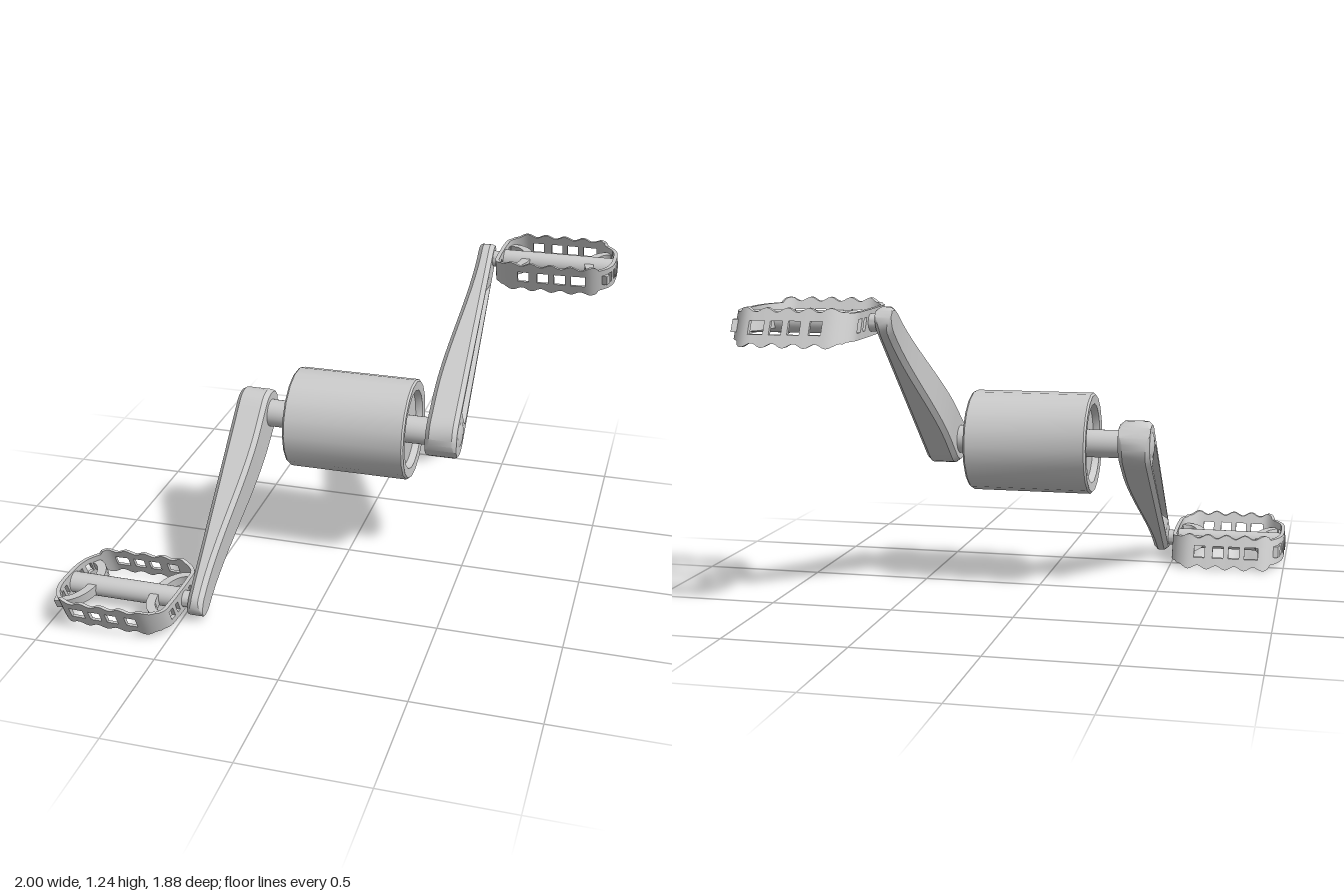
import * as THREE from 'three';
import { mergeGeometries, toCreasedNormals } from 'three/addons/utils/BufferGeometryUtils.js';

const V = (x, y, z) => new THREE.Vector3(x, y, z);
const CENTRE_Y = 0.622;
const PEDAL = V(0.748, 0.54, -0.675); // pedal centre relative to the axle

// Solid through a row of cross-sections, closed into a ring or capped at both ends
function loft(sections, ring = false) {
  const pos = [], n = sections[0].length, m = sections.length;
  const tri = (...v) => v.forEach(p => pos.push(p.x, p.y, p.z));
  for (let i = 0; i < (ring ? m : m - 1); i++) {
    const a = sections[i], b = sections[(i + 1) % m];
    for (let j = 0; j < n; j++) {
      const k = (j + 1) % n;
      tri(a[j], b[j], b[k]);
      tri(a[j], b[k], a[k]);
    }
  }
  if (!ring) [sections[0], sections[m - 1]].forEach((s, end) => {
    const c = s.reduce((t, p) => t.add(p), V(0, 0, 0)).divideScalar(n);
    s.forEach((p, j) => end ? tri(c, s[(j + 1) % n], p) : tri(c, p, s[(j + 1) % n]));
  });
  const g = new THREE.BufferGeometry();
  g.setAttribute('position', new THREE.Float32BufferAttribute(pos, 3));
  return orient(g);
}

// Turns a closed solid so that its faces point outwards
function orient(g) {
  const p = g.attributes.position.array;
  let vol = 0;
  for (let i = 0; i < p.length; i += 9) {
    vol += V(p[i], p[i + 1], p[i + 2]).dot(V(p[i + 3], p[i + 4], p[i + 5]).cross(V(p[i + 6], p[i + 7], p[i + 8])));
  }
  if (vol < 0) for (let i = 0; i < p.length; i += 9) {
    for (let c = 3; c < 6; c++) [p[i + c], p[i + c + 3]] = [p[i + c + 3], p[i + c]];
  }
  return g;
}

// Position-only copy of a built-in geometry
function plain(geo) {
  const g = geo.toNonIndexed();
  g.deleteAttribute('normal');
  g.deleteAttribute('uv');
  return g;
}

const rod = (r, x0, x1, sides = 24) =>
  plain(new THREE.CylinderGeometry(r, r, x1 - x0, sides).rotateZ(-Math.PI / 2).translate((x0 + x1) / 2, 0, 0));

// Rectangular cross-sections standing along a flat path
function bandSections(path, thick, lo, hi, ring) {
  const m = path.length;
  return path.map((p, i) => {
    const a = path[ring ? (i + m - 1) % m : Math.max(i - 1, 0)];
    const b = path[ring ? (i + 1) % m : Math.min(i + 1, m - 1)];
    const o = V(b.z - a.z, 0, a.x - b.x).setLength(thick / 2);
    return [[1, lo], [1, hi], [-1, hi], [-1, lo]].map(([s, h]) => V(p.x + s * o.x, h(p), p.z + s * o.z));
  });
}

// Leans the cage and tips it slightly, then moves it to the pedal centre
function placePedal(g) {
  const p = g.attributes.position;
  for (let i = 0; i < p.count; i++) {
    const z = p.getZ(i) + 0.5 * p.getY(i);
    p.setZ(i, z);
    p.setY(i, p.getY(i) + 0.03 * z);
  }
  return g.translate(PEDAL.x, PEDAL.y, PEDAL.z);
}

// Pedal cage: toothed top and bottom rails joined by posts that leave slots
function cageGeometry() {
  const corners = [[0.24, 0], [0.235, 0.09], [0.215, 0.15], [0.16, 0.212], [0.1, 0.22], [0, 0.222],
    [-0.1, 0.222], [-0.18, 0.215], [-0.232, 0.165], [-0.24, 0.09], [-0.241, 0]];
  const back = corners.slice(1, -1).reverse().map(([x, z]) => [x, -z]);
  const curve = new THREE.CatmullRomCurve3([...corners, ...back].map(([x, z]) => V(x, 0, z)), true, 'centripetal');
  const path = curve.getSpacedPoints(140).slice(0, -1);
  const isEnd = p => Math.abs(p.z) > 0.19;
  const edge = p => isEnd(p) ? 0.054 + 0.008 * (1 + Math.cos(p.x * 2 * Math.PI / 0.082)) : 0.05;
  const slot = 0.024;
  const isSlot = p => {
    const x = Math.abs(p.x), z = Math.abs(p.z);
    if (isEnd(p)) return x < 0.145 && x > 0.012 && Math.abs(x - 0.075) > 0.012;
    return z > 0.055 && z < 0.14 && Math.abs(z - 0.095) > 0.01;
  };
  const parts = [
    loft(bandSections(path, 0.016, () => slot, edge, true), true),
    loft(bandSections(path, 0.016, p => -edge(p), () => -slot, true), true),
  ];
  const posts = bandSections(path, 0.016, () => -slot, () => slot, true);
  path.forEach((p, i) => {
    const k = (i + 1) % path.length;
    if (!isSlot(p.clone().lerp(path[k], 0.5))) parts.push(loft([posts[i], posts[k]]));
  });
  return placePedal(mergeGeometries(parts));
}

// Curved braces from the cage corners in to the spindle
function braceGeometry() {
  return placePedal(mergeGeometries([-1, 1].map(s => {
    const pts = [[0.232, 0.165], [0.185, 0.15], [0.15, 0.1], [0.134, 0], [0.15, -0.1], [0.185, -0.15], [0.232, -0.165]];
    const path = new THREE.CatmullRomCurve3(pts.map(([x, z]) => V(s * x, 0, z))).getSpacedPoints(24);
    return loft(bandSections(path, 0.036, () => -0.022, () => 0.022, false));
  })));
}

// Crank arm: tapered, round-ended bar with a channel on its outer face
function armGeometry() {
  const dir = V(0, PEDAL.y, PEDAL.z), len = dir.length();
  dir.normalize();
  const side = V(0, -dir.z, dir.y);
  const R = 0.1, r = 0.06, smooth = THREE.MathUtils.smoothstep;
  const rows = [];
  for (let i = 1; i <= 6; i++) rows.push([-R * Math.cos(i * Math.PI / 12), R * Math.sin(i * Math.PI / 12)]);
  for (let i = 1; i < 24; i++) rows.push([len * i / 24, R + (r - R) * i / 24]);
  for (let i = 6; i >= 1; i--) rows.push([len + r * Math.cos(i * Math.PI / 12), r * Math.sin(i * Math.PI / 12)]);
  return loft(rows.map(([s, w]) => {
    const xi = 0.343 + 0.06 * smooth(s, 0.12, 0.85), xo = 0.474 - 0.006 * s / len;
    const d = 0.035 * smooth(s, 0.07, 0.13) * (1 - smooth(s, 0.66, 0.76));
    const b = Math.min(0.018, w * 0.35), g = w * 0.62;
    return [[-w + b, xi], [w - b, xi], [w, xi + b], [w, xo - b], [w - b, xo], [g, xo], [g * 0.8, xo - d],
      [-g * 0.8, xo - d], [-g, xo], [-w + b, xo], [-w, xo - b], [-w, xi + b]]
      .map(([q, x]) => dir.clone().multiplyScalar(s).addScaledVector(side, q).setX(x));
  }));
}

export function createModel() {
  const model = new THREE.Group();
  model.name = 'pedalCrankset';
  const grey = new THREE.MeshStandardMaterial({ color: 0xcccccc });
  const add = (parent, name, geo, crease = 0.6) => {
    const mesh = new THREE.Mesh(toCreasedNormals(geo, crease), grey);
    mesh.name = name;
    parent.add(mesh);
  };

  // Bearing shell with recessed ends
  const half = [[0, 0.225], [0.155, 0.225], [0.165, 0.252], [0.203, 0.255], [0.21, 0.247]];
  const profile = [...half.map(([x, y]) => new THREE.Vector2(x, -y)),
    ...half.slice().reverse().map(([x, y]) => new THREE.Vector2(x, y))];
  const shell = new THREE.LatheGeometry(profile, 18).rotateZ(-Math.PI / 2).translate(0.025, 0, 0);
  add(model, 'bearingShell', plain(shell));

  // Axle with domed ends
  add(model, 'axle', rod(0.058, -0.472, 0.472));
  for (const s of [-1, 1]) {
    const cap = new THREE.SphereGeometry(0.058, 24, 12).scale(0.25, 1, 1).translate(s * 0.468, 0, 0);
    add(model, 'axleCap', plain(cap));
  }

  // Opposite crank sides are each other's reflection through the centre
  for (const k of [1, -1]) {
    const sideGroup = new THREE.Group();
    sideGroup.name = k > 0 ? 'leftCrank' : 'rightCrank';
    const place = g => orient(g.scale(k, k, k));
    add(sideGroup, 'crankArm', place(armGeometry()));
    add(sideGroup, 'pedalCage', place(cageGeometry()));
    add(sideGroup, 'pedalBraces', place(braceGeometry()));
    const spindle = mergeGeometries([rod(0.034, 0.44, 0.51), rod(0.043, 0.505, 0.985), rod(0.034, 0.98, 1)]);
    add(sideGroup, 'pedalSpindle', place(spindle.translate(0, PEDAL.y, PEDAL.z)));
    model.add(sideGroup);
  }
  model.children.forEach(c => { c.position.y = CENTRE_Y; });
  return model;
}
